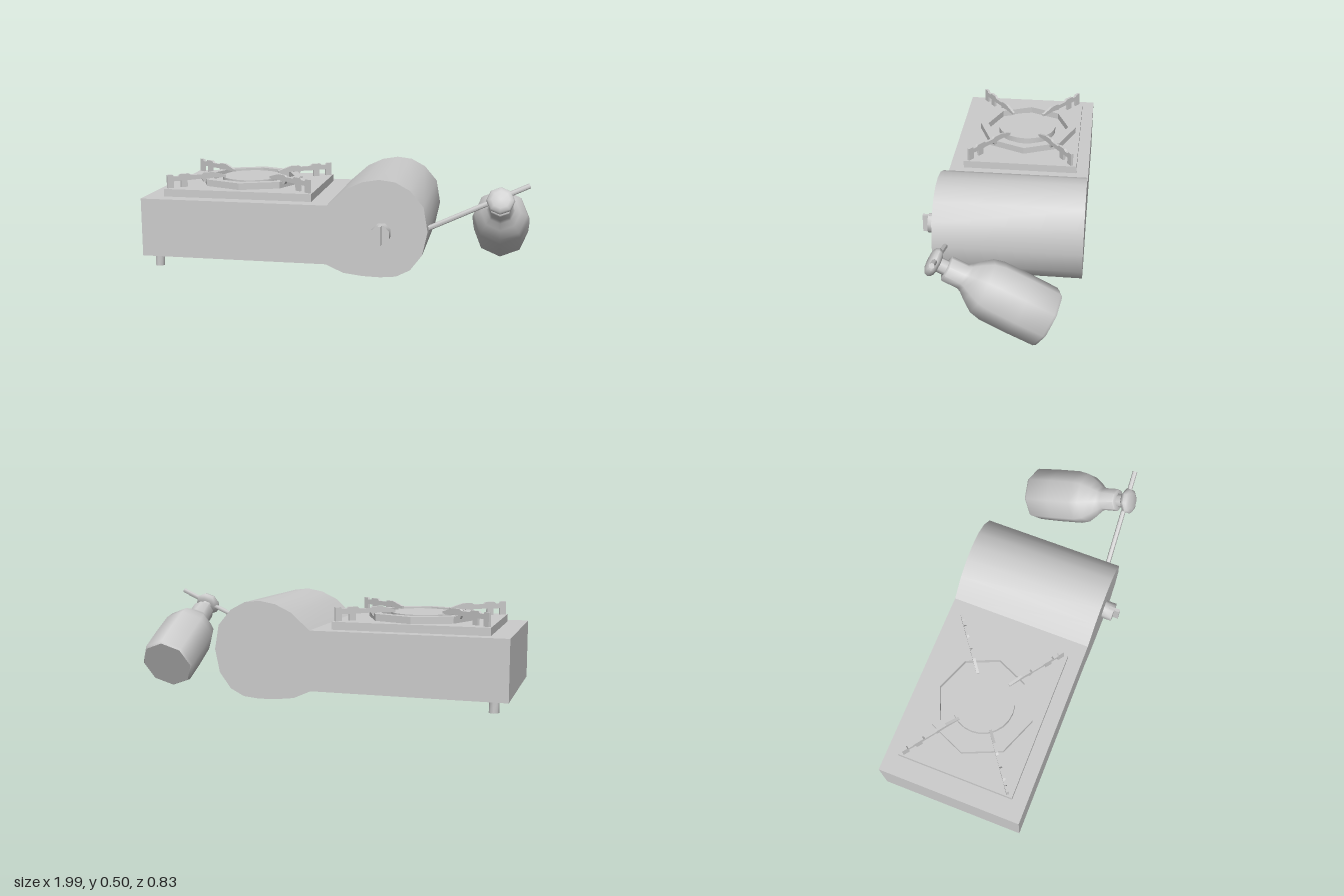
import * as THREE from 'three';
import { toCreasedNormals } from 'three/addons/utils/BufferGeometryUtils.js';

const grey = new THREE.MeshStandardMaterial({ color: 0xcccccc });

function add(parent, name, geometry, x = 0, y = 0, z = 0) {
  const mesh = new THREE.Mesh(geometry, grey);
  mesh.name = name;
  mesh.position.set(x, y, z);
  parent.add(mesh);
  return mesh;
}

const toPoints = (list) => list.map(([x, y]) => new THREE.Vector2(x, y));

const extrude = (shape, depth) =>
  new THREE.ExtrudeGeometry(shape, { depth, bevelEnabled: false });

const crease = (geometry, angle) => toCreasedNormals(geometry, angle);

function octagon(radius) {
  return Array.from({ length: 8 }, (_, i) => {
    const a = (i * Math.PI) / 4;
    return new THREE.Vector2(radius * Math.cos(a), radius * 0.97 * Math.sin(a));
  });
}

export function createModel() {
  const model = new THREE.Group();
  model.name = 'campStove';

  // Flat housing and rounded cartridge drum share one cross-section
  const profile = toPoints([
    [-1, 0.06], [-0.02, 0.06], [0.07, 0.02], [0.17, 0.008], [0.26, 0.006],
    [0.34, 0.014], [0.41, 0.05], [0.47, 0.13], [0.495, 0.25], [0.473, 0.375],
    [0.405, 0.455], [0.33, 0.495], [0.25, 0.505], [0.165, 0.49],
    [0.08, 0.45], [-0.015, 0.365], [-1, 0.365],
  ]);
  const body = crease(extrude(new THREE.Shape(profile), 0.75), 0.64);
  add(model, 'body', body, 0, 0, -0.42);

  // Feet under the outer end
  for (const z of [0.28, -0.365]) {
    add(model, 'foot', crease(new THREE.CylinderGeometry(0.025, 0.025, 0.065, 8), 0.9),
      -0.925, 0.0325, z);
  }

  // Burner: drip tray, octagonal ring and round head
  const burner = new THREE.Group();
  burner.name = 'burner';
  burner.position.set(-0.505, 0, -0.05);
  model.add(burner);
  add(burner, 'dripTray', new THREE.BoxGeometry(0.79, 0.045, 0.61), 0, 0.3825, 0);
  const ringShape = new THREE.Shape(octagon(0.28));
  ringShape.holes.push(new THREE.Path(octagon(0.235).reverse()));
  add(burner, 'burnerRing', extrude(ringShape, 0.037).rotateX(-Math.PI / 2), 0, 0.403, -0.01);
  add(burner, 'burnerHead', crease(new THREE.CylinderGeometry(0.16, 0.16, 0.035, 24), 0.6),
    0, 0.42, -0.005);

  // Pot supports: notched upright blades set on the diagonals
  const blade = new THREE.Shape(toPoints([
    [0, 0.4], [0.035, 0.4], [0.035, 0.44], [0.075, 0.44], [0.075, 0.405],
    [0.11, 0.405], [0.11, 0.44], [0.19, 0.442], [0.2, 0.425], [0.225, 0.425],
    [0.235, 0.442], [0.325, 0.44], [0.325, 0.452], [0.25, 0.473], [0.2, 0.473],
    [0.19, 0.465], [0.13, 0.465], [0.12, 0.475], [0.07, 0.475], [0.06, 0.465],
    [0.035, 0.465], [0.03, 0.475], [0, 0.475],
  ]));
  const bladeGeometry = extrude(blade, 0.014).translate(0, 0, -0.007);
  for (const sx of [-1, 1]) {
    for (const sz of [-1, 1]) {
      const support = add(burner, 'potSupport', bladeGeometry, sx * 0.385, 0, sz * 0.28);
      support.rotation.y = Math.atan2(sz * 0.195, -sx * 0.26);
    }
  }

  // Control knob with a raised grip
  const knob = new THREE.Group();
  knob.name = 'controlKnob';
  knob.position.set(0.265, 0.238, 0.325);
  model.add(knob);
  const dial = crease(new THREE.CylinderGeometry(0.051, 0.051, 0.06, 8), 0.9);
  dial.rotateX(Math.PI / 2).rotateZ(Math.PI / 8).scale(0.95, 1.02, 1);
  add(knob, 'knobDial', dial, 0, 0, 0.03);
  add(knob, 'knobGrip', new THREE.BoxGeometry(0.016, 0.097, 0.06), 0, 0, 0.06);

  // Gas rod from the drum through the valve
  const start = new THREE.Vector3(0.45, 0.235, 0.264);
  const end = new THREE.Vector3(0.985, 0.483, 0.232);
  const rod = add(model, 'gasRod',
    crease(new THREE.CylinderGeometry(0.013, 0.013, start.distanceTo(end), 8), 0.9));
  rod.position.lerpVectors(start, end, 0.5);
  rod.quaternion.setFromUnitVectors(new THREE.Vector3(0, 1, 0), end.clone().sub(start).normalize());

  // Tilted gas bottle; its local origin is the valve centre
  const bottle = new THREE.Group();
  bottle.name = 'gasBottle';
  bottle.position.set(0.845, 0.405, 0.25);
  bottle.rotation.x = 1.088;
  model.add(bottle);
  const lathe = (list) => crease(new THREE.LatheGeometry(toPoints(list), 8), 0.95);
  add(bottle, 'bottleShell', lathe([
    [0, -0.594], [0.138, -0.594], [0.147, -0.58], [0.149, -0.44], [0.147, -0.3],
    [0.135, -0.248], [0.1, -0.2], [0.072, -0.168], [0.062, -0.15], [0.062, -0.068],
    [0.056, -0.062], [0, -0.062],
  ]));
  add(bottle, 'valveStem', new THREE.CylinderGeometry(0.036, 0.036, 0.08, 8), 0, -0.035, 0);
  add(bottle, 'valveWheel', lathe([
    [0, -0.024], [0.05, -0.024], [0.066, -0.012], [0.071, 0.002],
    [0.064, 0.017], [0.045, 0.026], [0, 0.028],
  ]));

  return model;
}
